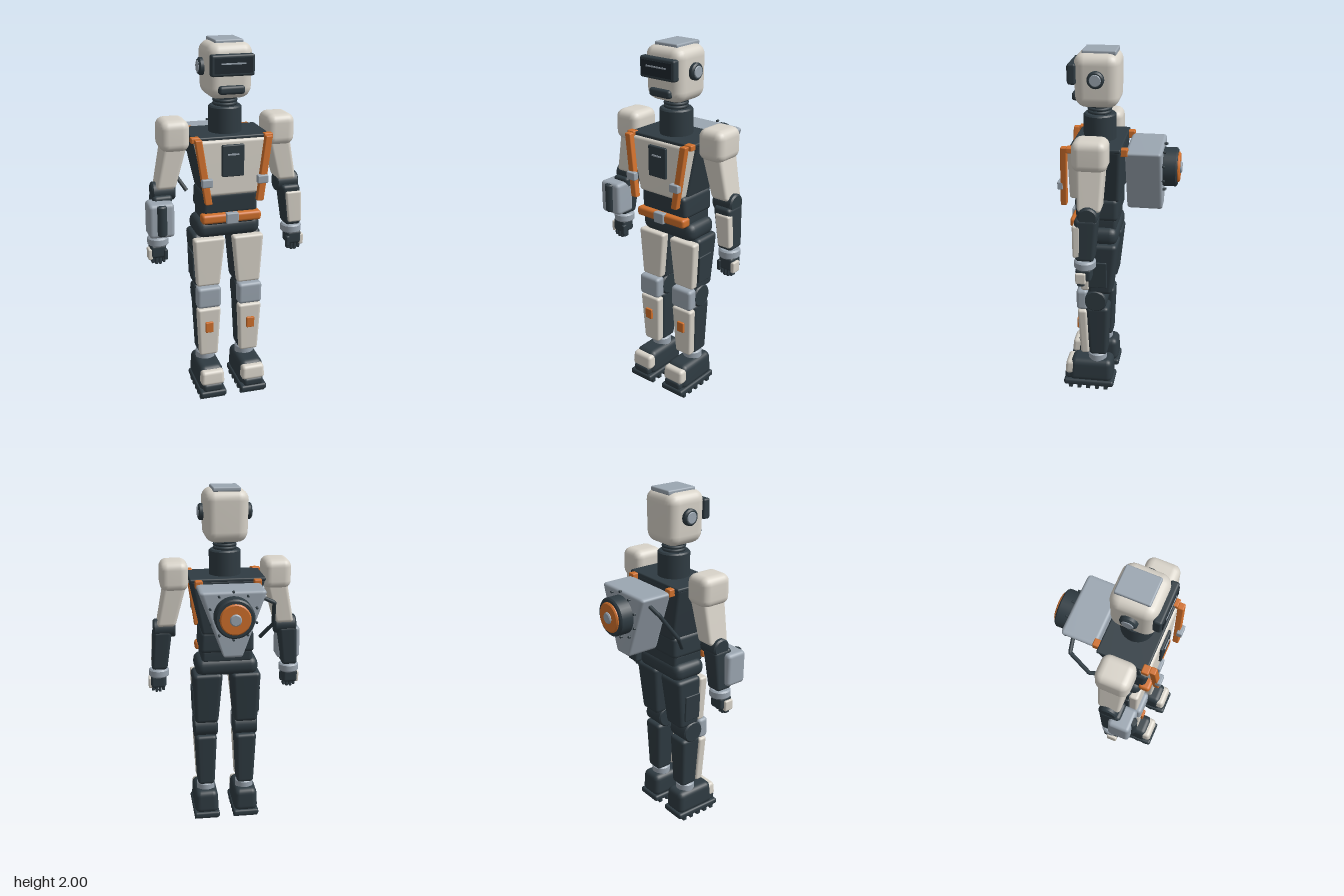
import * as THREE from 'three';
import { mergeVertices } from 'three/addons/utils/BufferGeometryUtils.js';
import { RoundedBoxGeometry } from 'three/addons/geometries/RoundedBoxGeometry.js';

const paint = (name, color) => {
  const m = new THREE.MeshStandardMaterial({ color });
  m.name = name;
  return m;
};

export function createModel() {
  const root = new THREE.Group();
  root.name = 'robot';
  const white = paint('warm white shell', 0xd8d3c9);
  const dark = paint('dark slate', 0x2f3b42);
  const black = paint('visor black', 0x1d272e);
  const grey = paint('blue grey metal', 0x9ba6b1);
  const orange = paint('safety orange', 0xd0702c);

  const group = (name) => {
    const g = new THREE.Group();
    g.name = name;
    root.add(g);
    return g;
  };
  const add = (parent, name, geo, mat, x = 0, y = 0, z = 0) => {
    const m = new THREE.Mesh(geo, mat);
    m.name = name;
    m.position.set(x, y, z);
    parent.add(m);
    return m;
  };
  // Rounded box from y0 to y1; ends are [centre x, centre z, width, depth]
  const block = (parent, name, mat, y0, y1, bottom, top = bottom, r = 0.02) => {
    const h = y1 - y0, w = (bottom[2] + top[2]) / 2, d = (bottom[3] + top[3]) / 2;
    let geo = new RoundedBoxGeometry(w, h, d, 3, Math.min(r, w * 0.45, h * 0.45, d * 0.45));
    geo.deleteAttribute('normal');
    geo.deleteAttribute('uv');
    geo = mergeVertices(geo, 1e-5);
    const p = geo.attributes.position;
    for (let i = 0; i < p.count; i++) {
      const t = p.getY(i) / h + 0.5;
      const [cx, cz, bw, bd] = bottom.map((v, k) => v + (top[k] - v) * t);
      p.setXYZ(i, cx + (p.getX(i) / w) * bw, y0 + t * h, cz + (p.getZ(i) / d) * bd);
    }
    geo.computeVertexNormals();
    return add(parent, name, geo, mat);
  };
  // Cylinder with a small bevel, along the given axis
  const drum = (parent, name, mat, r, len, axis, x, y, z, sides = 28) => {
    const b = Math.min(0.008, r * 0.25, len * 0.3), h = len / 2;
    const pts = [[0, -h], [r - b, -h], [r - b, -h], [r, b - h], [r, b - h], [r, h - b], [r, h - b], [r - b, h], [r - b, h], [0, h]];
    const geo = new THREE.LatheGeometry(pts.map(([a, c]) => new THREE.Vector2(a, c)), sides);
    if (axis === 'x') geo.rotateZ(-Math.PI / 2);
    if (axis === 'z') geo.rotateX(Math.PI / 2);
    return add(parent, name, geo, mat, x, y, z);
  };
  const box = (parent, name, mat, w, h, d, x, y, z) => add(parent, name, new THREE.BoxGeometry(w, h, d), mat, x, y, z);

  // Head
  const head = group('head');
  block(head, 'skull', white, 1.7, 1.987, [0, 0.122, 0.235, 0.235], [0, 0.122, 0.25, 0.245], 0.06);
  block(head, 'crownPlate', grey, 1.975, 2, [0, 0.11, 0.152, 0.18], undefined, 0.008);
  block(head, 'visorFrame', dark, 1.825, 1.935, [0, 0.25, 0.23, 0.045], undefined, 0.012);
  box(head, 'visorGlass', black, 0.2, 0.078, 0.008, 0, 1.88, 0.272);
  box(head, 'visorLight', grey, 0.13, 0.008, 0.006, 0, 1.89, 0.276);
  block(head, 'chinGuard', dark, 1.73, 1.775, [0, 0.235, 0.14, 0.05], undefined, 0.016);
  for (const s of [-1, 1]) {
    drum(head, 'earPod', dark, 0.045, 0.04, 'x', s * 0.127, 1.86, 0.12);
    drum(head, 'earDisc', grey, 0.031, 0.01, 'x', s * 0.146, 1.86, 0.12);
  }

  // Neck
  const neck = group('neck');
  drum(neck, 'neckCollar', dark, 0.089, 0.15, 'y', 0, 1.58, 0.12);
  drum(neck, 'neckCore', black, 0.055, 0.1, 'y', 0, 1.67, 0.12);
  for (let i = 0; i < 3; i++) {
    const ring = add(neck, 'neckRing', new THREE.TorusGeometry(0.058, 0.009, 8, 28), dark, 0, 1.664 + i * 0.018, 0.12);
    ring.rotation.x = Math.PI / 2;
  }

  // Torso
  const torso = group('torso');
  block(torso, 'ribcage', dark, 1.19, 1.51, [0, 0.105, 0.28, 0.21], [0, 0.095, 0.42, 0.23], 0.02);
  block(torso, 'shoulderDeck', dark, 1.495, 1.516, [0, 0.118, 0.42, 0.274], undefined, 0.008);
  block(torso, 'chestPlate', white, 1.2, 1.5, [0, 0.232, 0.27, 0.078], [0, 0.23, 0.4, 0.075], 0.018);
  block(torso, 'chestPanel', dark, 1.305, 1.475, [0, 0.27, 0.12, 0.025], undefined, 0.006);
  box(torso, 'chestPanelLine', grey, 0.06, 0.008, 0.006, 0, 1.425, 0.285);
  block(torso, 'abdomen', dark, 1.08, 1.21, [0, 0.12, 0.31, 0.23], [0, 0.125, 0.3, 0.24], 0.025);
  block(torso, 'waist', dark, 1.02, 1.1, [0, 0.12, 0.29, 0.21]);
  block(torso, 'belt', orange, 1.043, 1.095, [0, 0.235, 0.33, 0.065], undefined, 0.016);
  block(torso, 'beltBuckle', grey, 1.04, 1.1, [0, 0.262, 0.068, 0.035], undefined, 0.006);
  block(torso, 'pelvis', dark, 0.94, 1.045, [0, 0.11, 0.36, 0.21], [0, 0.11, 0.36, 0.21], 0.045);
  for (const s of [-1, 1]) {
    block(torso, 'chestStrap', orange, 1.17, 1.515, [s * 0.14, 0.3, 0.038, 0.034], [s * 0.19, 0.283, 0.038, 0.034], 0.006);
    block(torso, 'strapShoulderHook', orange, 1.49, 1.52, [s * 0.197, 0.248, 0.048, 0.04], undefined, 0.006);
    block(torso, 'strapBuckle', grey, 1.268, 1.312, [s * 0.15, 0.312, 0.058, 0.032], undefined, 0.006);
    block(torso, 'backStrapTab', orange, 1.47, 1.512, [s * 0.162, -0.03, 0.042, 0.045], undefined, 0.006);
  }

  // Backpack with turbine and hose
  const pack = group('backpack');
  block(pack, 'packShell', grey, 1.13, 1.495, [0, -0.133, 0.1, 0.195], [0, -0.133, 0.37, 0.195], 0.018);
  drum(pack, 'turbineHousing', dark, 0.106, 0.085, 'z', 0, 1.365, -0.265, 36);
  drum(pack, 'turbineCap', orange, 0.083, 0.022, 'z', 0, 1.365, -0.309, 36);
  drum(pack, 'turbineHub', grey, 0.032, 0.02, 'z', 0, 1.365, -0.32);
  for (let i = 0; i < 10; i++) {
    const a = (i * Math.PI) / 5;
    drum(pack, 'packBolt', dark, 0.007, 0.016, 'z', 0.13 * Math.sin(a), 1.365 + 0.13 * Math.cos(a), -0.238, 8);
  }
  const hose = new THREE.CurvePath();
  const bends = [[-0.15, 1.45, -0.17], [-0.232, 1.41, -0.155], [-0.25, 1.26, -0.045], [-0.19, 1.165, 0.03]].map((v) => new THREE.Vector3(...v));
  for (let i = 0; i < 3; i++) hose.add(new THREE.LineCurve3(bends[i], bends[i + 1]));
  add(pack, 'hose', new THREE.TubeGeometry(hose, 48, 0.011, 10), dark);

  for (const s of [-1, 1]) {
    const side = s > 0 ? 'left' : 'right';

    // Arm
    const arm = group(side + 'Arm');
    block(arm, 'shoulderPad', white, 1.432, 1.6, [s * 0.288, 0.123, 0.158, 0.187], undefined, 0.045);
    block(arm, 'upperArm', white, 1.23, 1.47, [s * 0.338, 0.122, 0.105, 0.125], [s * 0.283, 0.12, 0.125, 0.15]);
    drum(arm, 'elbow', dark, 0.053, 0.125, 'x', s * 0.347, 1.21, 0.125);
    block(arm, 'forearm', dark, 0.965, 1.2, [s * 0.38, 0.143, 0.09, 0.1], [s * 0.358, 0.135, 0.108, 0.125]);
    drum(arm, 'wrist', grey, 0.058, 0.048, 'y', s * 0.382, 0.94, 0.145);
    block(arm, 'palm', dark, 0.85, 0.925, [s * 0.388, 0.15, 0.085, 0.085], undefined, 0.016);
    block(arm, 'handPlate', white, 0.843, 0.905, [s * 0.432, 0.162, 0.025, 0.055], undefined, 0.008);
    for (let i = 0; i < 4; i++) {
      block(arm, 'finger', dark, 0.812 + (i % 3 ? 0 : 0.008), 0.87, [s * (0.358 + i * 0.02), 0.165, 0.017, 0.036], undefined, 0.006);
    }
    block(arm, 'thumb', dark, 0.84, 0.9, [s * 0.35, 0.185, 0.022, 0.03], undefined, 0.008);
    if (s > 0) {
      block(arm, 'forearmPlate', white, 0.985, 1.165, [0.385, 0.183, 0.078, 0.045], [0.37, 0.185, 0.092, 0.045], 0.012);
    } else {
      block(arm, 'gauntletBox', grey, 0.99, 1.178, [-0.38, 0.202, 0.138, 0.125], undefined, 0.022);
      drum(arm, 'gauntletCanister', dark, 0.028, 0.166, 'y', -0.38, 1.088, 0.257, 12);
    }

    // Leg
    const leg = group(side + 'Leg');
    block(leg, 'thigh', dark, 0.64, 0.955, [s * 0.115, 0.105, 0.135, 0.135], [s * 0.11, 0.088, 0.175, 0.172], 0.025);
    block(leg, 'thighPlate', white, 0.66, 0.94, [s * 0.116, 0.188, 0.13, 0.05], [s * 0.11, 0.19, 0.178, 0.058], 0.015);
    block(leg, 'thighSidePanel', dark, 0.69, 0.85, [s * 0.182, 0.113, 0.025, 0.105], [s * 0.187, 0.113, 0.025, 0.105], 0.006);
    drum(leg, 'kneeJoint', dark, 0.066, 0.14, 'x', s * 0.118, 0.597, 0.13);
    block(leg, 'kneePad', grey, 0.535, 0.66, [s * 0.118, 0.207, 0.138, 0.066], undefined, 0.02);
    block(leg, 'shin', dark, 0.225, 0.55, [s * 0.118, 0.122, 0.1, 0.105], [s * 0.118, 0.122, 0.13, 0.135], 0.022);
    block(leg, 'shinPlate', white, 0.235, 0.53, [s * 0.118, 0.198, 0.105, 0.05], [s * 0.118, 0.208, 0.136, 0.055], 0.015);
    block(leg, 'shinBadge', orange, 0.388, 0.45, [s * 0.12, 0.235, 0.045, 0.02], undefined, 0.004);
    drum(leg, 'ankle', grey, 0.055, 0.055, 'y', s * 0.118, 0.202, 0.13);

    // Boot
    const boot = group(side + 'Boot');
    block(boot, 'bootBody', dark, 0.045, 0.19, [s * 0.119, 0.168, 0.148, 0.268], [s * 0.119, 0.162, 0.135, 0.245], 0.035);
    block(boot, 'toeCap', white, 0.09, 0.175, [s * 0.119, 0.28, 0.138, 0.08], [s * 0.119, 0.272, 0.128, 0.08], 0.02);
    block(boot, 'toeBumper', dark, 0.05, 0.1, [s * 0.119, 0.29, 0.115, 0.065], undefined, 0.018);
    block(boot, 'sole', dark, 0.018, 0.056, [s * 0.119, 0.178, 0.155, 0.298], undefined, 0.014);
    for (let i = 0; i < 5; i++) box(boot, 'tread', dark, 0.145, 0.025, 0.022, s * 0.119, 0.0125, 0.075 + i * 0.053);
  }
  return root;
}
